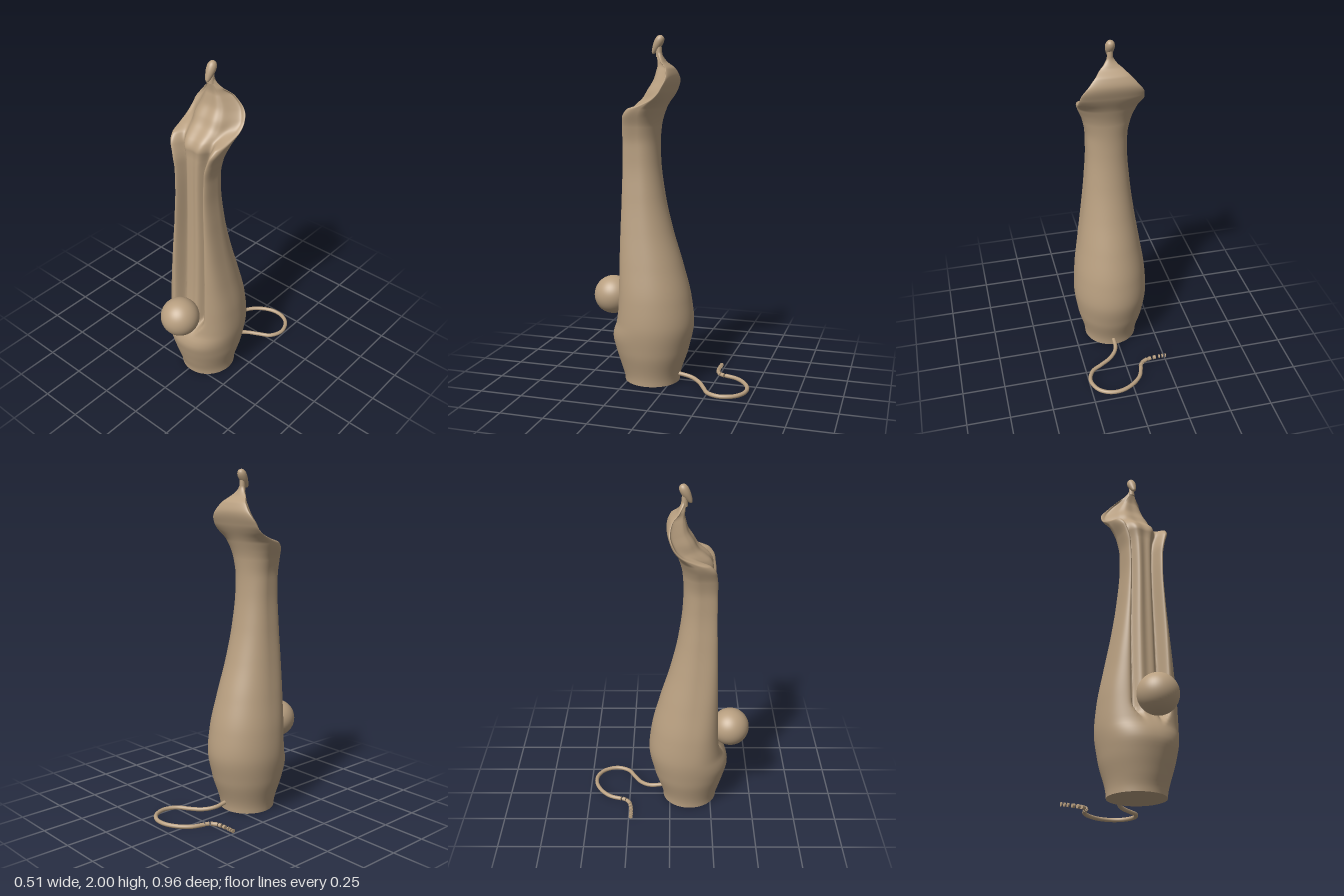
import * as THREE from 'three';

const CX = 0.017; // the body stands slightly off the centre line

// Smooth interpolation through [height, value] pairs
function profile(pairs) {
  const slope = (i) => {
    if (i <= 0 || i >= pairs.length - 1) return 0;
    const d0 = (pairs[i][1] - pairs[i - 1][1]) / (pairs[i][0] - pairs[i - 1][0]);
    const d1 = (pairs[i + 1][1] - pairs[i][1]) / (pairs[i + 1][0] - pairs[i][0]);
    return d0 * d1 <= 0 ? 0 : (2 * d0 * d1) / (d0 + d1);
  };
  return (y) => {
    if (y <= pairs[0][0]) return pairs[0][1];
    for (let i = 0; i < pairs.length - 1; i++) {
      const [y0, a] = pairs[i], [y1, b] = pairs[i + 1];
      if (y > y1) continue;
      const h = y1 - y0, t = (y - y0) / h, t2 = t * t, t3 = t2 * t;
      return a * (2 * t3 - 3 * t2 + 1) + slope(i) * h * (t3 - 2 * t2 + t) +
        b * (3 * t2 - 2 * t3) + slope(i + 1) * h * (t3 - t2);
    }
    return pairs[pairs.length - 1][1];
  };
}

const halfWidth = profile([[0, 0.16], [0.2, 0.203], [0.36, 0.222], [0.5, 0.214], [0.7, 0.185], [0.9, 0.155],
  [1.1, 0.131], [1.3, 0.117], [1.4, 0.118], [1.5, 0.136], [1.6, 0.172], [1.66, 0.182], [1.72, 0.174],
  [1.8, 0.118], [1.85, 0.068], [1.88, 0.034], [1.91, 0.018]]);
const backZ = profile([[0, -0.04], [0.2, -0.095], [0.36, -0.125], [0.5, -0.11], [0.7, -0.06], [0.9, 0],
  [1.1, 0.046], [1.3, 0.072], [1.4, 0.076], [1.5, 0.07], [1.6, 0.045], [1.7, 0], [1.77, -0.018],
  [1.82, -0.002], [1.86, 0.04], [1.91, 0.06]]);
const frontZ = profile([[0, 0.285], [0.1, 0.31], [0.2, 0.338], [0.27, 0.352], [0.31, 0.345], [0.36, 0.325],
  [0.5, 0.308], [0.7, 0.298], [1, 0.291], [1.4, 0.286], [1.55, 0.28], [1.6, 0.25], [1.625, 0.17],
  [1.66, 0.075], [1.7, 0.035], [1.77, 0.008], [1.82, 0.018], [1.86, 0.06], [1.91, 0.088]]);
const midZ = profile([[0, 0.12], [0.4, 0.12], [1, 0.16], [1.4, 0.17], [1.55, 0.16], [1.6, 0.14], [1.625, 0.11],
  [1.66, 0.06], [1.7, 0.025], [1.77, 0], [1.82, 0.012], [1.86, 0.05], [1.91, 0.074]]);
const squareness = profile([[0, 2], [0.3, 2.2], [0.5, 2.6], [1, 4], [1.5, 4.5], [1.65, 3], [1.9, 2]]);
const grooveWidth = profile([[0.3, 0.05], [0.38, 0.085], [0.46, 0.122], [0.9, 0.116], [1.3, 0.104],
  [1.45, 0.11], [1.6, 0.153], [1.68, 0.165], [1.75, 0.14], [1.8, 0.105], [1.85, 0.06], [1.91, 0.016]]);
const foldDepth = profile([[0.36, 0], [0.46, 0.05], [1.5, 0.055], [1.6, 0.045], [1.68, 0.035], [1.8, 0.02], [1.88, 0]]);
const centreShift = profile([[0.34, 0], [0.44, -0.035], [1.5, -0.042], [1.6, -0.025], [1.625, 0.03],
  [1.66, 0.085], [1.7, 0.1], [1.76, 0.09], [1.82, 0.065], [1.86, 0.022], [1.91, 0]]);

const FRONT = 100, BACK = 40;

// One horizontal cross-section: folded front half, then plain rounded back
function section(y) {
  const w = halfWidth(y), zm = midZ(y), n = squareness(y), xo = grooveWidth(y);
  const pts = [];
  for (let i = 0; i < FRONT; i++) {
    const u = Math.cos((Math.PI * i) / FRONT);
    const round = Math.pow(Math.max(0, 1 - Math.pow(Math.abs(u), n)), 1 / n);
    const v = Math.abs(u * w) / xo;
    const centre = 1 - THREE.MathUtils.smoothstep(v, 0.55, 1);
    const valley = Math.exp(-(((v - 0.66) / 0.2) ** 2)) + 0.15 * Math.exp(-((v / 0.2) ** 2));
    const z = zm + (frontZ(y) - zm) * round + centreShift(y) * centre - foldDepth(y) * valley;
    pts.push([CX + u * w, y, z]);
  }
  for (let i = 0; i < BACK; i++) {
    const a = Math.PI + (Math.PI * i) / BACK;
    pts.push([CX + Math.cos(a) * w, y, zm + Math.sin(a) * (zm - backZ(y))]);
  }
  return pts;
}

function bodyGeometry() {
  const heights = [];
  for (let i = 0; i < 75; i++) heights.push((1.5 * i) / 75);
  for (let i = 0; i <= 90; i++) heights.push(1.5 + (0.41 * i) / 90);
  const N = FRONT + BACK, pos = [], idx = [];
  heights.forEach((y) => section(y).forEach((p) => pos.push(...p)));
  for (let r = 0; r < heights.length - 1; r++) {
    for (let i = 0; i < N; i++) {
      const a = r * N + i, b = r * N + ((i + 1) % N);
      idx.push(a, a + N, b, b, a + N, b + N);
    }
  }
  const geo = new THREE.BufferGeometry();
  geo.setAttribute('position', new THREE.Float32BufferAttribute(pos, 3));
  geo.setIndex(idx);
  geo.computeVertexNormals();
  return geo;
}

// Flat underside following the lowest cross-section
function baseGeometry() {
  const shape = new THREE.Shape(section(0).map((p) => new THREE.Vector2(p[0], p[2])));
  return new THREE.ShapeGeometry(shape).rotateX(Math.PI / 2);
}

export function createModel() {
  const group = new THREE.Group();
  const clay = new THREE.MeshStandardMaterial({ color: 0xb89f80 });
  clay.name = 'tan clay';
  const add = (name, geo, parent = group) => {
    const mesh = new THREE.Mesh(geo, clay);
    mesh.name = name;
    parent.add(mesh);
    return mesh;
  };

  add('body', bodyGeometry());
  add('base', baseGeometry());
  add('ball', new THREE.SphereGeometry(0.113, 48, 32)).position.set(CX, 0.496, 0.365);

  // Small drop-shaped head, leaning back with its point forward
  const drop = new THREE.SplineCurve([[0, 0], [0.009, 0.006], [0.018, 0.03], [0.025, 0.062], [0.025, 0.09],
    [0.016, 0.109], [0, 0.116]].map((p) => new THREE.Vector2(...p))).getPoints(30);
  drop.forEach((p) => { p.x = Math.max(0, p.x); });
  const head = add('head', new THREE.LatheGeometry(drop, 32));
  head.position.set(CX, 1.901, 0.115);
  head.rotation.x = -0.5;
  const neck = add('neck', new THREE.CylinderGeometry(0.015, 0.018, 0.06, 24));
  neck.position.set(CX, 1.915, 0.078);

  // Curling cord lying on the ground behind the body
  const cord = new THREE.CatmullRomCurve3([[0.03, 0.05, -0.03], [0.037, 0.036, -0.12], [0.08, 0.026, -0.18],
    [0.15, 0.021, -0.225], [0.213, 0.02, -0.265], [0.243, 0.02, -0.34], [0.215, 0.02, -0.42],
    [0.155, 0.02, -0.461], [0.08, 0.02, -0.464], [0, 0.02, -0.427], [-0.055, 0.02, -0.37],
    [-0.08, 0.02, -0.302]].map((p) => new THREE.Vector3(...p)));
  add('cord', new THREE.TubeGeometry(cord, 120, 0.012, 16));
  const end = add('cordEnd', new THREE.CircleGeometry(0.012, 16));
  end.position.copy(cord.getPoint(1));
  end.lookAt(end.position.clone().add(cord.getTangent(1)));

  // Broken tip of the cord: short separate pieces [x, z, length, heading]
  const tip = new THREE.Group();
  tip.name = 'cordTip';
  group.add(tip);
  [[-0.085, -0.283, 0.022, 1.1], [-0.1, -0.262, 0.012, 0.9], [-0.119, -0.25, 0.028, 0.5],
    [-0.15, -0.241, 0.017, 0.25], [-0.182, -0.237, 0.016, 0.05], [-0.214, -0.236, 0.007, 0],
    [-0.234, -0.236, 0.006, 0], [-0.254, -0.236, 0.005, 0]].forEach(([x, z, length, heading]) => {
    const piece = add('cordPiece', new THREE.CylinderGeometry(0.012, 0.012, length, 16).rotateZ(Math.PI / 2), tip);
    piece.position.set(x, 0.02, z);
    piece.rotation.y = heading;
  });
  return group;
}
